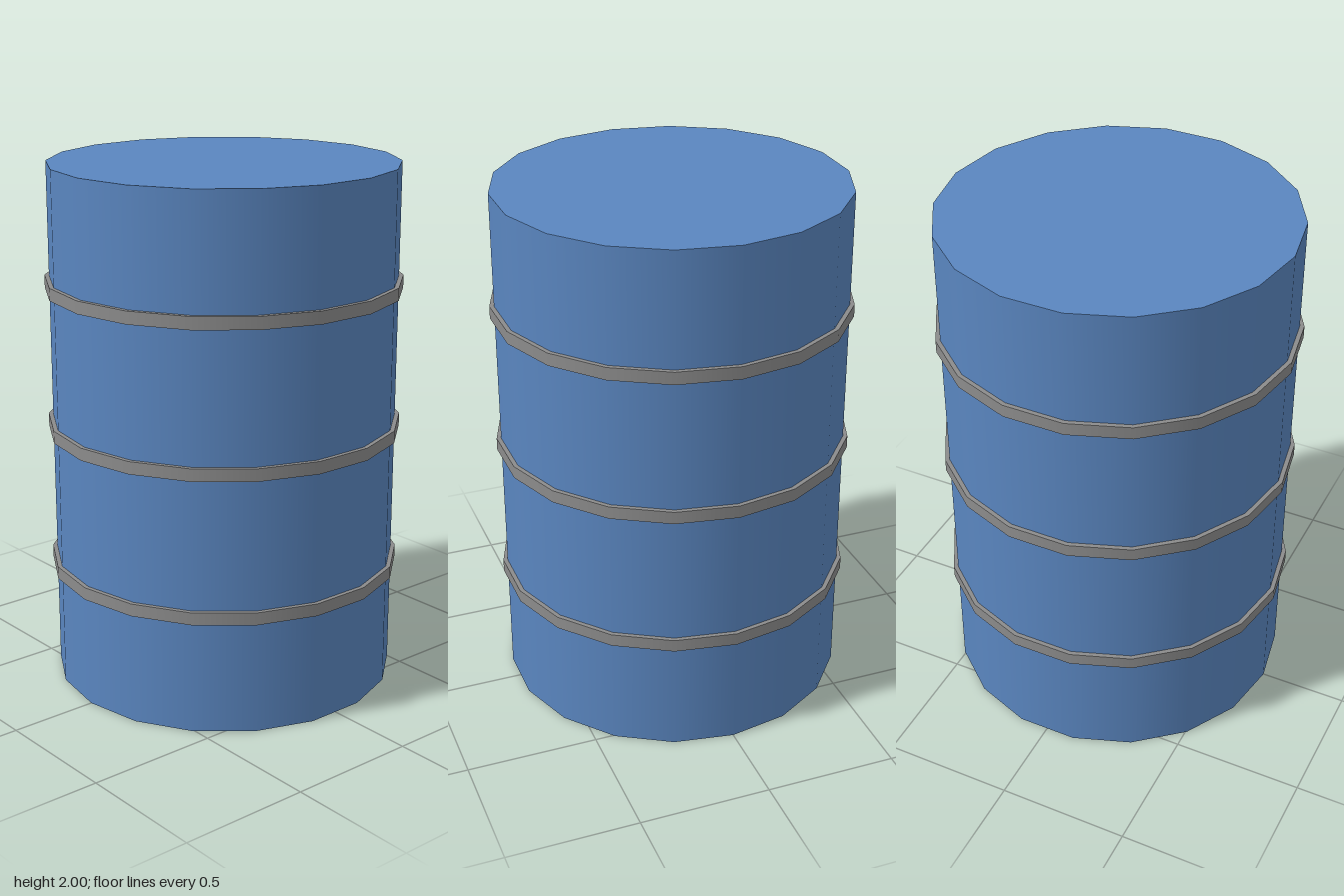
import * as THREE from 'three';

const SIDES = 18;

export function createModel() {
  const model = new THREE.Group();
  model.name = 'drum';

  const blue = new THREE.MeshStandardMaterial({ color: 0x5a86c0 });
  const grey = new THREE.MeshStandardMaterial({ color: 0x8c8c8c });

  const addCylinder = (name, radius, height, y, material) => {
    const mesh = new THREE.Mesh(new THREE.CylinderGeometry(radius, radius, height, SIDES), material);
    mesh.name = name;
    mesh.position.y = y;
    model.add(mesh);
  };

  // Closed barrel body
  addCylinder('body', 0.66, 2, 1, blue);

  // Three evenly spaced hoops around the body
  ['lowerHoop', 'middleHoop', 'upperHoop'].forEach((name, i) => {
    addCylinder(name, 0.677, 0.048, 1 + (i - 1) * 0.545, grey);
  });

  return model;
}
